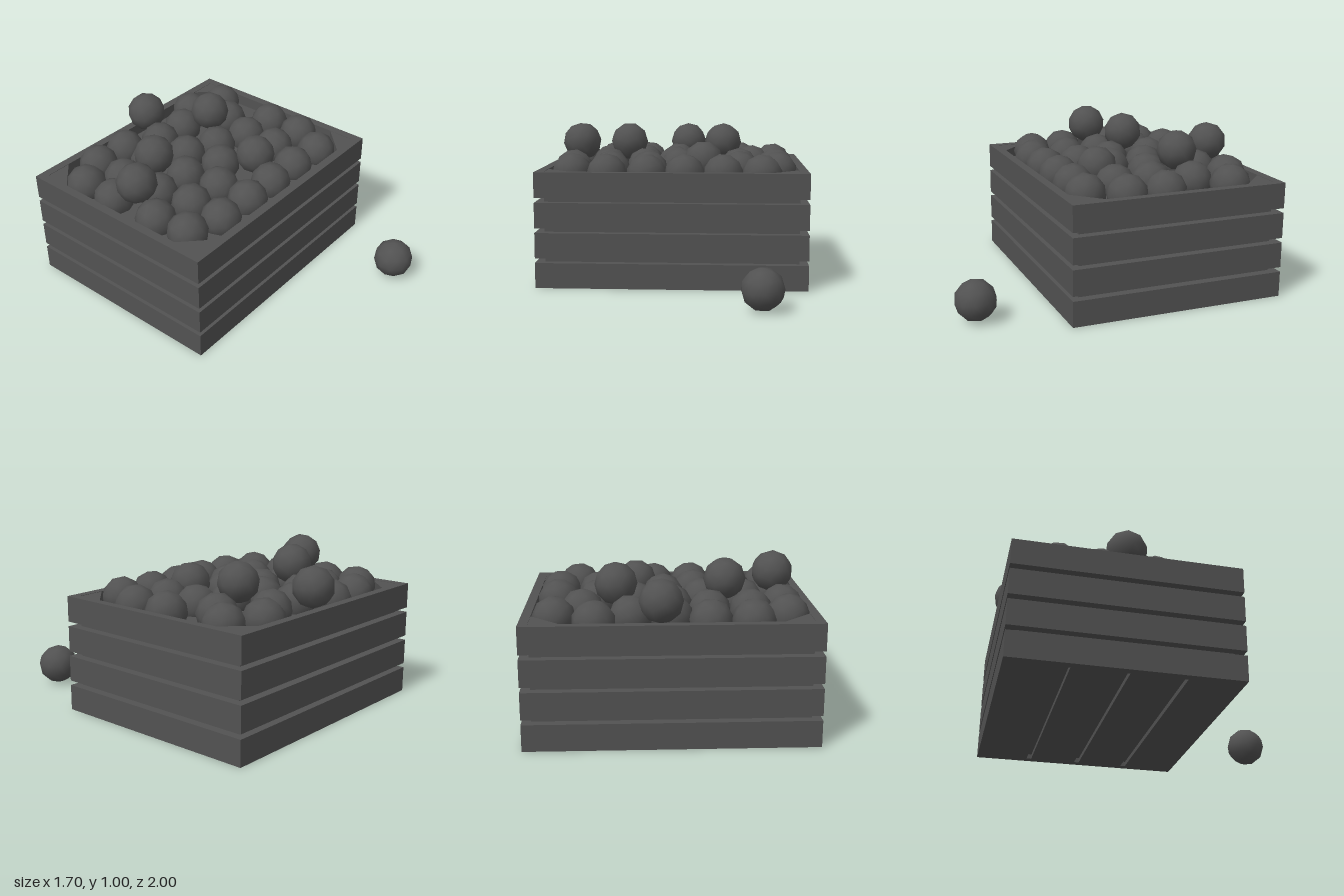
import * as THREE from 'three';

const HX = 0.852, ZF = 0.385, ZB = -0.987;   // crate outline
const T = 0.055;                             // wall thickness
const SLAT = 0.16, PITCH = 0.19, TOP = 0.73; // slat height, spacing, rim height
const CZ = (ZF + ZB) / 2, DEPTH = ZF - ZB;
const IX = HX - T, IZ = DEPTH / 2 - T;       // inner half sizes
const R = 0.128;                             // ball radius

export function createModel() {
  const model = new THREE.Group();
  const material = new THREE.MeshStandardMaterial({ color: 0x525252 });

  const crate = new THREE.Group();
  crate.name = 'crate';
  crate.position.z = CZ;
  model.add(crate);

  const box = (name, w, h, d, x, y, z) => {
    const mesh = new THREE.Mesh(new THREE.BoxGeometry(w, h, d), material);
    mesh.name = name;
    mesh.position.set(x, y, z);
    crate.add(mesh);
  };

  // Four rows of wall slats
  for (let i = 0; i < 4; i++) {
    const y = i * PITCH + SLAT / 2;
    for (const s of [1, -1]) {
      box(s > 0 ? 'frontSlat' : 'backSlat', HX * 2, SLAT, T, 0, y, s * (DEPTH / 2 - T / 2));
      box(s > 0 ? 'leftSlat' : 'rightSlat', T, SLAT, IZ * 2, s * (HX - T / 2), y, 0);
    }
  }

  // Floor boards with three narrow slots between them
  const slots = [-0.334, 0, 0.334];
  const edges = [-IZ, ...slots.flatMap(z => [z - 0.016, z + 0.016]), IZ];
  for (let i = 0; i < edges.length; i += 2) {
    const d = edges[i + 1] - edges[i];
    box('floorBoard', IX * 2, 0.03, d, 0, 0.015, edges[i] + d / 2);
  }

  // Triangular corner posts
  for (const sx of [1, -1]) for (const sz of [1, -1]) {
    const shape = new THREE.Shape([
      new THREE.Vector2(sx * IX, -sz * IZ),
      new THREE.Vector2(sx * (IX - 0.175), -sz * IZ),
      new THREE.Vector2(sx * IX, -sz * (IZ - 0.175)),
    ]);
    const post = new THREE.Mesh(
      new THREE.ExtrudeGeometry(shape, { depth: TOP - 0.032, bevelEnabled: false }), material);
    post.name = 'cornerPost';
    post.rotation.x = -Math.PI / 2;
    post.position.y = 0.03;
    crate.add(post);
  }

  // Solid bed under the top layer of balls
  box('ballBed', IX * 2 - 0.012, 0.63, IZ * 2 - 0.012, 0, 0.345, 0);

  // Balls: x, z and optional centre height
  const spots = [
    [-0.47, -0.81], [-0.225, -0.81], [0.06, -0.875, 0.84], [0.44, -0.81], [0.67, -0.71],
    [-0.68, -0.70], [-0.005, -0.695], [0.23, -0.70], [-0.48, -0.57], [-0.235, -0.575],
    [0.315, -0.52, 0.86], [0.515, -0.53], [-0.68, -0.455], [-0.335, -0.43, 0.865],
    [-0.015, -0.445], [0.2, -0.365], [-0.46, -0.29], [-0.645, -0.28, 0.875],
    [-0.21, -0.28], [0.425, -0.29], [0.67, -0.275], [0.025, -0.185, 0.715],
    [-0.675, -0.105], [-0.42, -0.045], [-0.17, -0.035], [0.19, -0.025, 0.77],
    [0.425, -0.05], [0.67, -0.025], [-0.65, 0.13], [-0.42, 0.195], [-0.165, 0.195],
    [0.075, 0.19], [0.32, 0.185], [0.565, 0.2],
    [0.55, 0.875, 0.13], // the one lying in front of the crate
  ];
  const ballGeometry = new THREE.IcosahedronGeometry(R, 1);
  const balls = new THREE.Group();
  balls.name = 'balls';
  spots.forEach(([x, z, y = 0.705], i) => {
    const ball = new THREE.Mesh(ballGeometry, material);
    ball.name = y < 0.2 ? 'fallenBall' : 'ball';
    ball.position.set(x, y, z);
    ball.rotation.set(i * 1.7, i * 2.3, i * 0.9);
    balls.add(ball);
  });
  model.add(balls);

  return model;
}
